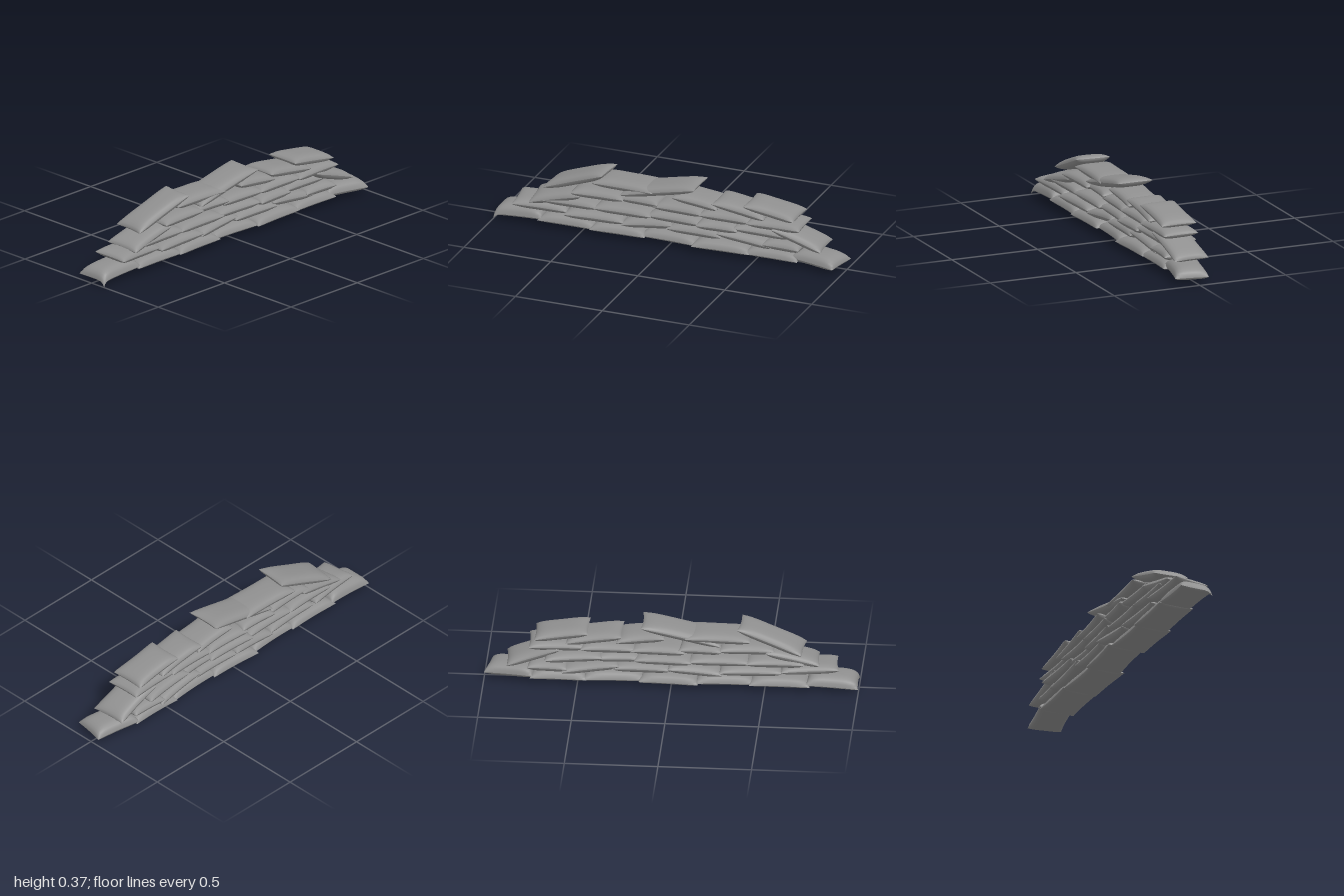
import * as THREE from 'three';

const material = new THREE.MeshStandardMaterial({ color: 0x909090 });
const OVERLAP = 0.012;

// One half (top or bottom) of a stuffed bag, ending at a sharp seam with pulled-out corners.
function bagHalf(width, length, rise, sign, droop) {
  const geo = new THREE.PlaneGeometry(2, 2, 12, 16);
  const p = geo.attributes.position;
  for (let i = 0; i < p.count; i++) {
    // spread the grid lines towards the seams
    const a = Math.sin(p.getX(i) * Math.PI / 2), b = Math.sin(p.getY(i) * Math.PI / 2);
    const x = a * width / 2 * (1 - 0.07 * (1 - b * b));
    const z = b * length / 2 * (1 - 0.04 * (1 - a * a));
    const bulge = Math.max(0, (1 - a ** 4) * (1 - b ** 4)) ** 0.5;
    const sag = droop * Math.max(0, a) ** 6 * Math.max(0, b) ** 10;
    p.setXYZ(i, x, sign * rise * bulge - sag, z);
  }
  // the top half needs its corner order reversed to face up
  if (sign > 0) geo.index.array.reverse();
  geo.computeVertexNormals();
  return geo;
}

// A bag lying between its front and back seams; topShare is the part of its thickness above the seam.
function sandbag({ front, back, x = 0, yaw = 0, roll = 0, width = 0.2, thick = 0.06, topShare = 0.5, droop = 0 }) {
  const bag = new THREE.Group();
  const dz = front[0] - back[0], dy = front[1] - back[1];
  const length = Math.hypot(dz, dy);
  for (const [name, share, sign] of [['bagTop', topShare, 1], ['bagBottom', 1 - topShare, -1]]) {
    const mesh = new THREE.Mesh(bagHalf(width, length, thick * share, sign, droop), material);
    mesh.name = name;
    bag.add(mesh);
  }
  bag.name = 'sandbag';
  bag.position.set(x, (front[1] + back[1]) / 2, (front[0] + back[0]) / 2);
  bag.rotation.set(-Math.atan2(dy, dz), yaw, roll, 'YXZ');
  return bag;
}

// Level runs of bags: seam height and the joints between neighbours, front to back
const levelRuns = [
  { name: 'bottomCourse', y: 0.037, topShare: 0.72, joints: [0.73, 0.43, 0.14, -0.155, -0.46, -0.74] },
  { name: 'secondCourseFront', y: 0.102, joints: [0.58, 0.265] },
  { name: 'secondCourseMiddle', y: 0.108, joints: [-0.01, -0.3] },
  { name: 'secondCourseBack', y: 0.1, joints: [-0.56, -0.75] },
  { name: 'thirdCourse', y: 0.16, joints: [0.7, 0.41, 0.105, -0.18, -0.39] },
  { name: 'fourthCourseFront', y: 0.232, joints: [0.54, 0.265, 0.06] },
  { name: 'fourthCourseBack', y: 0.218, joints: [0.07, -0.195, -0.47, -0.75] },
  { name: 'topCourse', y: 0.298, joints: [0.42, 0.09] },
];

// Tilted bags: front and back seams as [z, y]
const tiltedBags = [
  { front: [0.89, 0.125], back: [0.58, 0.115], x: 0.01, yaw: 0.09, roll: -0.06 },
  { front: [0.27, 0.09], back: [-0.02, 0.12], x: -0.008, yaw: 0.05 },
  { front: [-0.28, 0.125], back: [-0.59, 0.085], x: -0.012, yaw: 0.05 },
  { front: [0.79, 0.15], back: [0.5, 0.22], x: 0.01, yaw: 0.05, roll: -0.08 },
  { front: [-0.37, 0.17], back: [-0.68, 0.155], x: -0.015, yaw: 0.07 },
  { front: [-0.6, 0.205], back: [-0.88, 0.11], yaw: 0.05 },
  { front: [0.71, 0.225], back: [0.36, 0.355], yaw: -0.08, width: 0.19 },
  { front: [0.27, 0.26], back: [-0.16, 0.355] },
  { front: [-0.03, 0.295], back: [-0.29, 0.265] },
  { front: [-0.26, 0.295], back: [-0.56, 0.25] },
  { front: [-0.44, 0.31], back: [-0.73, 0.265] },
];

// The two ends of the ground course; the front one has a corner hanging down
const endBags = [
  { front: [1, 0.03], back: [0.72, 0.045], width: 0.185, thick: 0.07, topShare: 0.78, droop: 0.03 },
  { front: [-0.72, 0.05], back: [-0.985, 0.04], x: 0.012, yaw: -0.19, width: 0.185, thick: 0.072, topShare: 0.68 },
];

export function createModel() {
  const wall = new THREE.Group();
  wall.name = 'sandbagWall';

  levelRuns.forEach(({ name, y, topShare, joints }, row) => {
    const run = new THREE.Group();
    run.name = name;
    for (let i = 0; i < joints.length - 1; i++) {
      // small misalignment from bag to bag
      const wobble = Math.sin(row * 1.7 + i * 2.4);
      run.add(sandbag({
        front: [joints[i] + OVERLAP, y], back: [joints[i + 1] - OVERLAP, y],
        x: 0.01 * wobble, yaw: 0.05 * wobble, topShare,
      }));
    }
    wall.add(run);
  });

  for (const [name, bags] of [['tiltedBags', tiltedBags], ['endBags', endBags]]) {
    const group = new THREE.Group();
    group.name = name;
    bags.forEach((bag) => group.add(sandbag(bag)));
    wall.add(group);
  }
  return wall;
}
